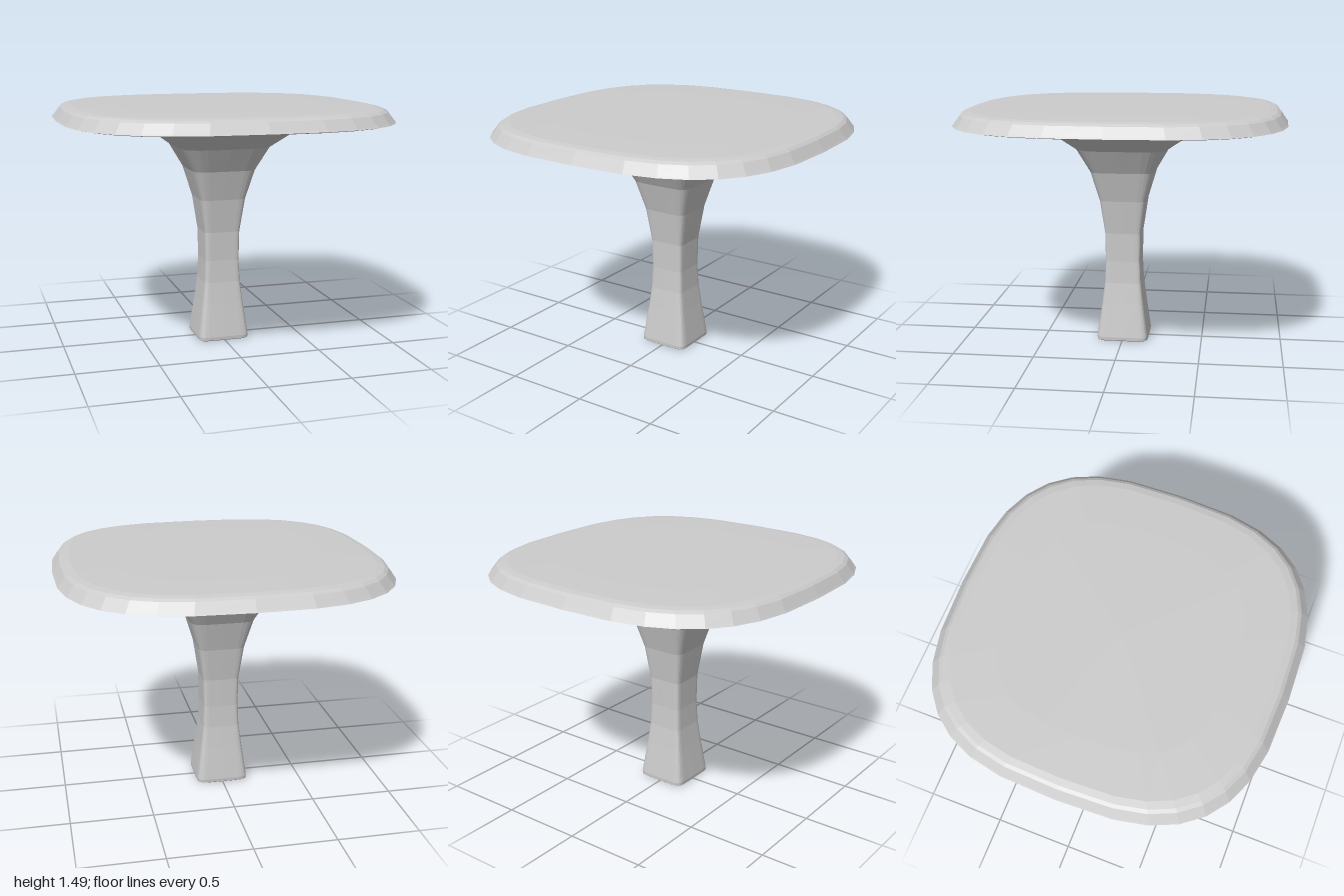
import * as THREE from 'three';

const SEGMENTS = 32;

// Rounded-square outline: a higher squareness gives tighter corners.
function outlinePoint(index, radius, squareness) {
  const a = (index / SEGMENTS) * Math.PI * 2;
  const bend = (v) => (Math.abs(v) < 1e-6 ? 0 : Math.sign(v) * Math.abs(v) ** (2 / squareness));
  return [radius * bend(Math.cos(a)), radius * bend(Math.sin(a))];
}

// Skin over stacked sections [height, half width, squareness], listed from bottom to top.
function loft(name, sections, material) {
  const positions = [];
  const indices = [];
  sections.forEach(([y, radius, squareness], row) => {
    for (let j = 0; j < SEGMENTS; j++) {
      const [x, z] = outlinePoint(j, radius, squareness);
      positions.push(x, y, z);
      if (row === sections.length - 1) continue;
      const a = row * SEGMENTS + j;
      const b = row * SEGMENTS + ((j + 1) % SEGMENTS);
      const c = a + SEGMENTS;
      const d = b + SEGMENTS;
      if (radius > 0) indices.push(a, c, b);
      if (sections[row + 1][1] > 0) indices.push(b, c, d);
    }
  });
  const indexed = new THREE.BufferGeometry();
  indexed.setAttribute('position', new THREE.Float32BufferAttribute(positions, 3));
  indexed.setIndex(indices);
  const geometry = indexed.toNonIndexed();
  geometry.computeVertexNormals();
  const mesh = new THREE.Mesh(geometry, material);
  mesh.name = name;
  return mesh;
}

export function createModel() {
  const group = new THREE.Group();
  group.name = 'pedestalTable';
  const material = new THREE.MeshStandardMaterial({ color: 0xcccccc, flatShading: true });

  // Square pedestal, waisted in the middle and flaring out into the underside of the top
  group.add(loft('pedestal', [
    [0, 0, 8],
    [0, 0.153, 8],
    [0.006, 0.161, 8],
    [0.025, 0.162, 8],
    [0.24, 0.132, 9],
    [0.37, 0.116, 10],
    [0.51, 0.11, 10],
    [0.69, 0.114, 9],
    [0.9, 0.145, 7.5],
    [1.085, 0.2, 6],
    [1.23, 0.285, 4.6],
    [1.325, 0.42, 3.8],
    [1.37, 0.59, 3.3],
    [1.387, 0.78, 3],
    [1.393, 0.97, 2.94],
    [1.4, 1, 2.94],
  ], material));

  // Table top with a sloping rim and softly rounded upper edge
  group.add(loft('tableTop', [
    [1.4, 1, 2.94],
    [1.41, 0.992, 2.94],
    [1.462, 0.955, 2.94],
    [1.475, 0.935, 2.94],
    [1.482, 0.895, 2.94],
    [1.487, 0.65, 2.94],
    [1.488, 0, 2.94],
  ], material));

  return group;
}
